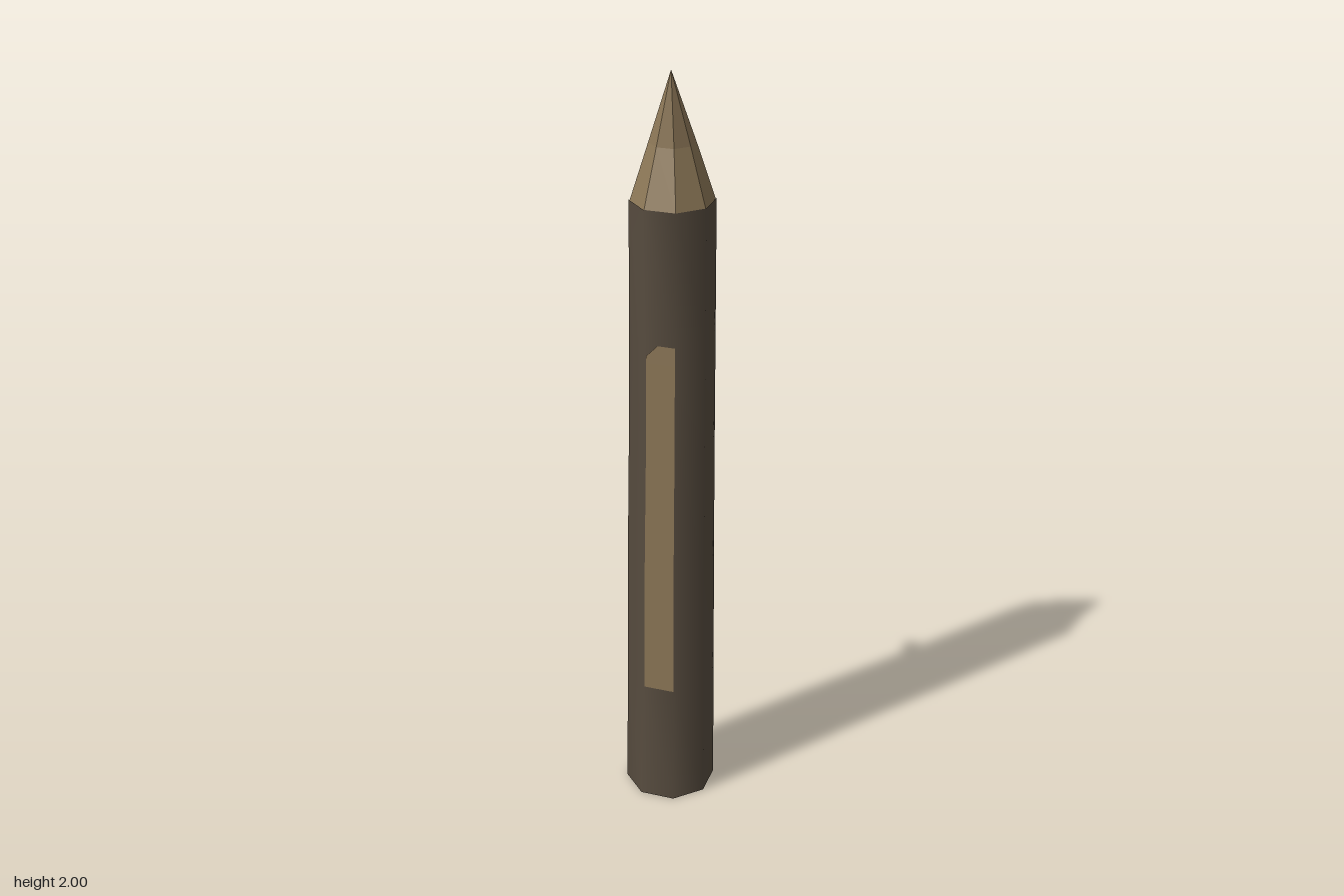
import * as THREE from 'three';

const SIDES = 8;

// Shaft sections: height, centre x, centre z, radius
const SHAFT = [
  [0, 0, 0.025, 0.12],
  [0.35, 0.002, 0.025, 0.116],
  [0.7, 0.002, 0.023, 0.113],
  [1.05, 0.004, 0.026, 0.109],
  [1.34, 0.005, 0.025, 0.107],
  [1.68, 0.006, 0.022, 0.105],
];

// Sharpened end: the mid section is off centre, so one side is hollowed
const POINT = [
  [1.675, 0.006, 0.022, 0.104],
  [1.82, 0.005, 0.021, 0.057],
  [2, 0, 0.05, 0],
];

function corner([y, cx, cz, r], i) {
  const a = (i / SIDES) * Math.PI * 2;
  return [cx + r * Math.sin(a), y, cz + r * Math.cos(a)];
}

function build(points, index) {
  const g = new THREE.BufferGeometry();
  g.setAttribute('position', new THREE.Float32BufferAttribute(points.flat(), 3));
  g.setIndex(index);
  return g;
}

// Skin a stack of octagonal sections
function loft(sections) {
  const points = [], index = [];
  sections.forEach((s, k) => {
    for (let i = 0; i < SIDES; i++) {
      points.push(corner(s, i));
      if (k === 0) continue;
      const j = (i + 1) % SIDES, lo = (k - 1) * SIDES, hi = k * SIDES;
      index.push(lo + i, lo + j, hi + i);
      if (s[3] > 0) index.push(lo + j, hi + j, hi + i);
    }
  });
  return build(points, index);
}

// Interpolated shaft section at any height
function sectionAt(y) {
  const k = Math.max(1, SHAFT.findIndex((s) => s[0] >= y));
  const a = SHAFT[k - 1], b = SHAFT[k];
  const t = (y - a[0]) / (b[0] - a[0]);
  return a.map((v, n) => v + (b[n] - v) * t);
}

export function createModel() {
  const bark = new THREE.MeshStandardMaterial({ color: 0x574c3f });
  bark.name = 'dark bark';
  const wood = new THREE.MeshStandardMaterial({ color: 0x8c7757 });
  wood.name = 'bare wood';

  const model = new THREE.Group();
  model.name = 'woodenStake';
  const add = (name, geometry, material) => {
    const mesh = new THREE.Mesh(geometry, material);
    mesh.name = name;
    model.add(mesh);
    return mesh;
  };

  // Smooth shaft with a flat underside
  const shaft = loft(SHAFT);
  shaft.computeVertexNormals();
  add('shaft', shaft, bark);

  const base = new THREE.CircleGeometry(0.12, SIDES);
  base.rotateX(Math.PI / 2).translate(0, 0, 0.025);
  add('base', base, bark);

  // Faceted point
  const point = loft(POINT).toNonIndexed();
  point.computeVertexNormals();
  add('point', point, wood);

  // Peeled strip on the facet left of the front corner: height, start across facet
  const rows = [[0.35, 0.08], [0.7, 0.09], [1.05, 0.1], [1.31, 0.1], [1.34, 0.45]];
  const lift = 0.003, tilt = -Math.PI / 8;
  const points = [], index = [];
  rows.forEach(([y, start], k) => {
    const s = sectionAt(y);
    const a = new THREE.Vector3(...corner(s, 7));
    const b = new THREE.Vector3(...corner(s, 0));
    for (const t of [start, 1]) {
      const p = a.clone().lerp(b, t);
      points.push([p.x + lift * Math.sin(tilt), y, p.z + lift * Math.cos(tilt)]);
    }
    if (k > 0) {
      const n = 2 * k;
      index.push(n - 2, n - 1, n, n - 1, n + 1, n);
    }
  });
  const strip = build(points, index);
  strip.computeVertexNormals();
  add('peeledStrip', strip, wood);

  // Broken twig at the back
  const from = new THREE.Vector3(0.013, 1.043, -0.06);
  const to = new THREE.Vector3(0.018, 1.071, -0.135);
  const along = to.clone().sub(from);
  const twig = add('twig', new THREE.CylinderGeometry(0.019, 0.023, along.length(), 6), bark);
  twig.position.copy(from).add(to).multiplyScalar(0.5);
  twig.quaternion.setFromUnitVectors(new THREE.Vector3(0, 1, 0), along.normalize());

  return model;
}
